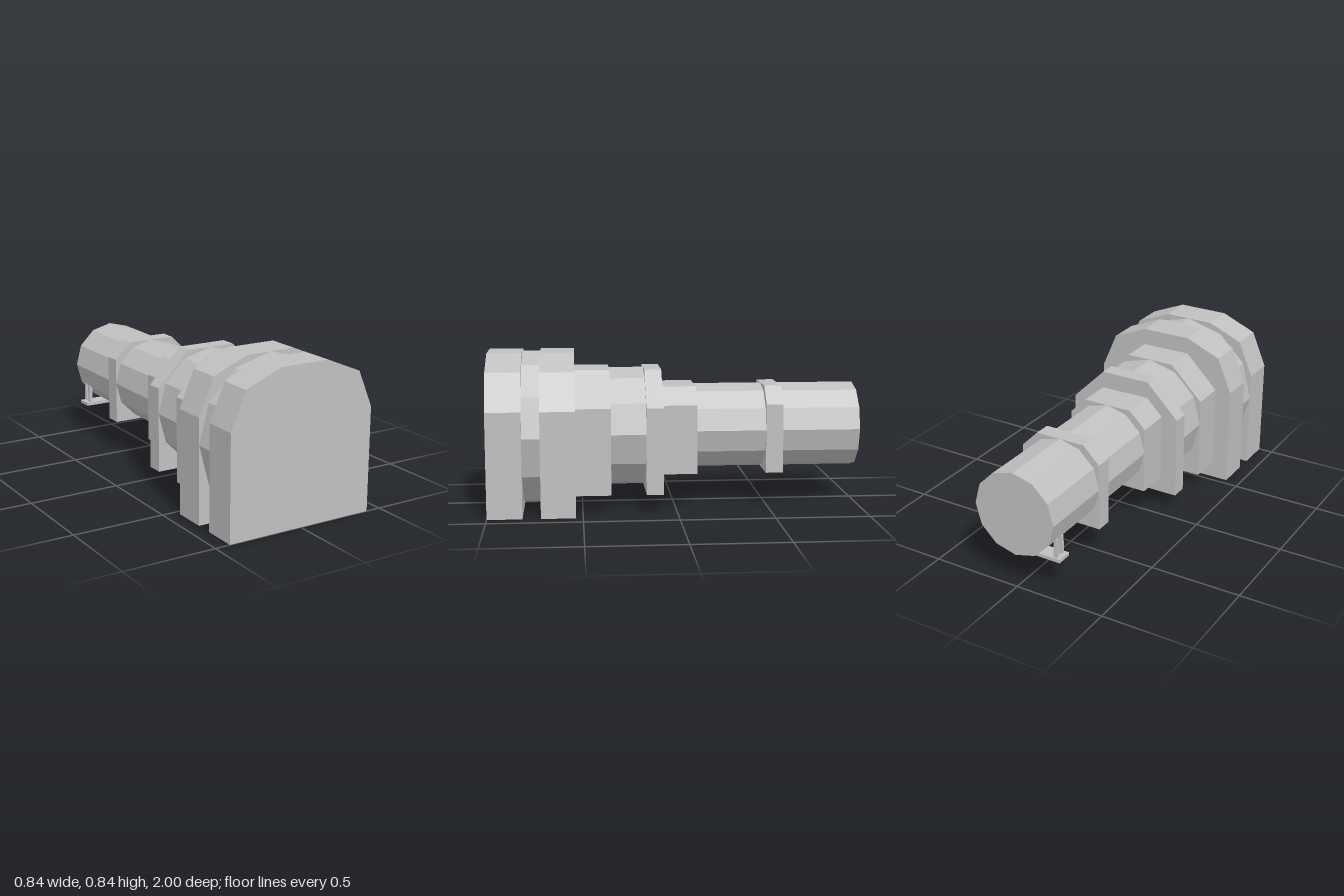
import * as THREE from 'three';

const AXIS_Y = 0.42;

export function createModel() {
  const model = new THREE.Group();
  const grey = new THREE.MeshStandardMaterial({ color: 0xc0c0c0, flatShading: true });

  const add = (name, geometry) => {
    const mesh = new THREE.Mesh(geometry, grey);
    mesh.name = name;
    model.add(mesh);
    return mesh;
  };

  // Flat-bottomed plate with a bevelled top; corners run up the right side
  const plate = (name, bottom, corners, zBack, zFront) => {
    const half = corners[0][0];
    const outline = [
      [-half, bottom], [half, bottom], ...corners,
      ...corners.slice().reverse().map(([x, y]) => [-x, y]),
    ];
    const shape = new THREE.Shape(outline.map(([x, y]) => new THREE.Vector2(x, y)));
    const geometry = new THREE.ExtrudeGeometry(shape, { depth: zFront - zBack, bevelEnabled: false });
    geometry.translate(0, 0, zBack);
    add(name, geometry);
  };

  // Twelve-sided drum lying along z
  const drum = (name, radius, zBack, zFront) => {
    const geometry = new THREE.CylinderGeometry(radius, radius, zFront - zBack, 12);
    geometry.rotateX(Math.PI / 2);
    geometry.translate(0, AXIS_Y, (zBack + zFront) / 2);
    add(name, geometry);
  };

  // Large front section
  const large = [[0.418, 0.56], [0.335, 0.756], [0.14, 0.838]];
  plate('frontPlate', 0, large, 0.815, 1);
  drum('frontDrum', 0.418, 0.72, 0.815);
  plate('frontBackingPlate', 0, large, 0.537, 0.72);

  // Middle section
  const medium = [[0.325, 0.56], [0.14, 0.745]];
  plate('middlePlate', 0.097, medium, 0.35, 0.537);
  drum('middleDrum', 0.325, 0.163, 0.35);
  plate('middleBackingPlate', 0.097, medium, 0.072, 0.163);

  // Slim rear section
  const small = [[0.232, 0.56], [0.14, 0.652]];
  plate('rearPlate', 0.188, small, -0.115, 0.072);
  drum('rearDrum', 0.232, -0.488, -0.115);
  plate('rearCollar', 0.188, small, -0.58, -0.488);
  drum('tailDrum', 0.232, -1, -0.58);

  // Small bracket under one side of the tail
  add('bracketFoot', new THREE.BoxGeometry(0.232, 0.018, 0.085)).position.set(-0.116, 0.198, -0.912);
  for (const z of [-0.935, -0.89]) {
    add('bracketPost', new THREE.BoxGeometry(0.02, 0.11, 0.018)).position.set(-0.2, 0.255, z);
  }

  return model;
}
